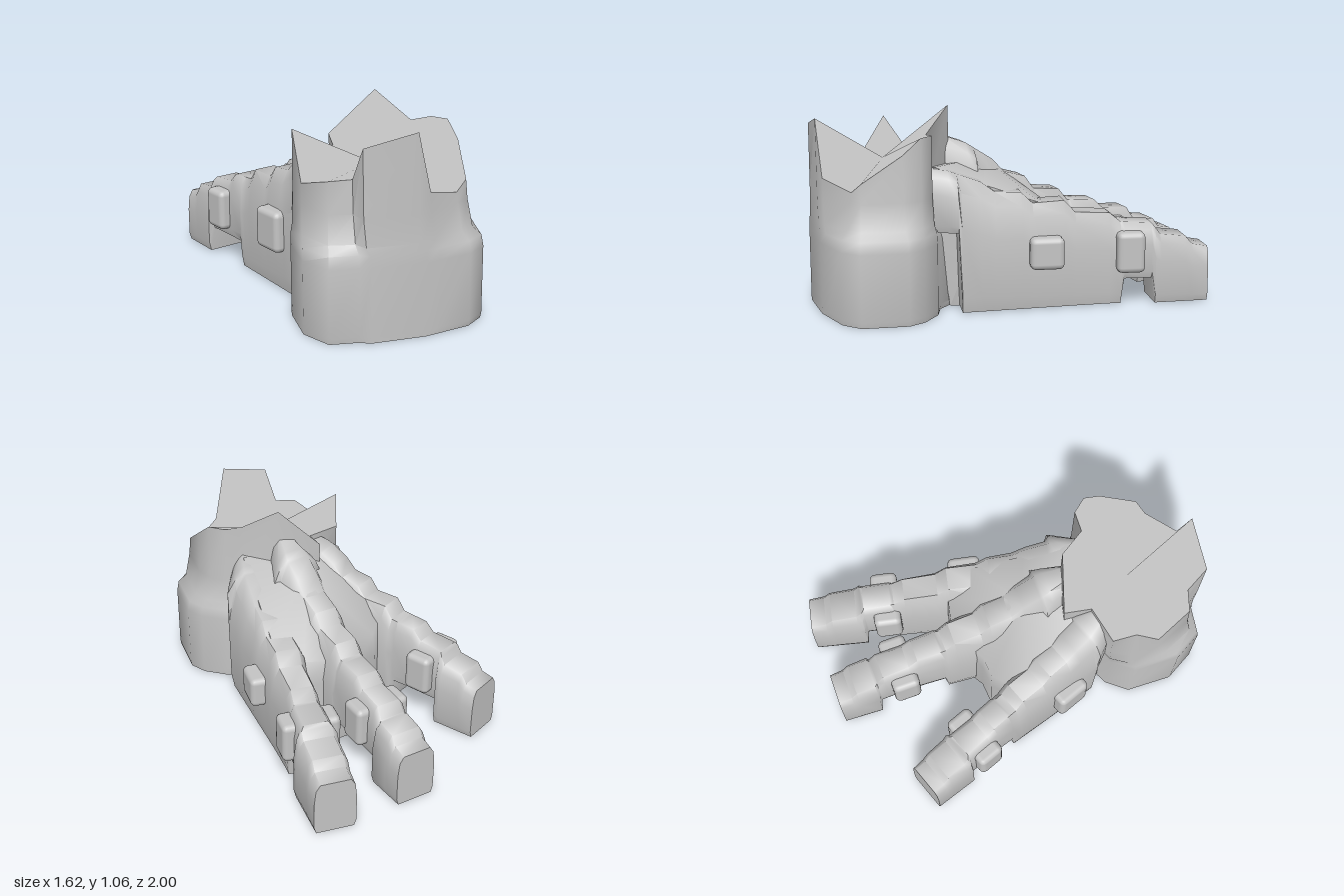
import * as THREE from 'three';
import { toCreasedNormals } from 'three/addons/utils/BufferGeometryUtils.js';
import { RoundedBoxGeometry } from 'three/addons/geometries/RoundedBoxGeometry.js';

const stone = new THREE.MeshStandardMaterial({ color: 0xc4c4c4, side: THREE.DoubleSide });
stone.name = 'stone grey';

const lerp = THREE.MathUtils.lerp;

function skin(name, pos, crease) {
  const geo = new THREE.BufferGeometry();
  geo.setAttribute('position', new THREE.Float32BufferAttribute(pos, 3));
  const mesh = new THREE.Mesh(toCreasedNormals(geo, crease), stone);
  mesh.name = name;
  return mesh;
}

// Triangles from a centre point to every edge of a ring.
function fan(centre, ring) {
  return ring.flatMap((p, i) => [...centre, ...p, ...ring[(i + 1) % ring.length]]);
}

// Joins rings of [x, y, z] points into a skin; the far end is closed unless open is set.
function loft(name, rings, { endCentre, open = false, crease = 1 } = {}) {
  const n = rings[0].length, pos = [];
  const middle = (ring) => [0, 1, 2].map((k) => ring.reduce((s, p) => s + p[k], 0) / n);
  for (let i = 0; i < n; i++) {
    const j = (i + 1) % n;
    for (let r = 0; r + 1 < rings.length; r++) {
      const a = rings[r], b = rings[r + 1];
      pos.push(...a[i], ...a[j], ...b[j], ...a[i], ...b[j], ...b[i]);
    }
  }
  const first = rings[0], last = rings[rings.length - 1];
  pos.push(...fan(middle(first), [...first].reverse()));
  if (!open) pos.push(...fan(endCentre || middle(last), last));
  return skin(name, pos, crease);
}

function block(name, [x, y, z], [w, h, d], turn) {
  const mesh = new THREE.Mesh(new RoundedBoxGeometry(w, h, d, 2, 0.03), stone);
  mesh.position.set(x, y, z);
  mesh.rotation.y = turn;
  mesh.name = name;
  return mesh;
}

// Heel: [base x, base z, rim x, rim y, rim z], rising to a jagged broken rim.
function heel() {
  const outline = [
    [-0.815, 0.58, -0.73, 0.72, 0.46], [-0.79, 0.75, -0.73, 0.78, 0.67],
    [-0.66, 0.82, -0.64, 0.79, 0.74], [-0.62, 0.86, -0.65, 0.96, 0.83],
    [-0.36, 0.96, -0.41, 1.02, 0.94], [-0.29, 0.97, -0.34, 0.72, 0.95],
    [-0.12, 1.0, -0.14, 0.67, 0.91], [0.0, 0.96, -0.07, 0.72, 0.9],
    [0.125, 0.75, 0.04, 0.86, 0.72], [0.12, 0.65, 0.06, 0.94, 0.62],
    [0.06, 0.52, 0.03, 0.94, 0.53], [-0.02, 0.44, -0.07, 0.93, 0.49],
    [-0.06, 0.32, -0.14, 1.06, 0.29], [-0.33, 0.25, -0.33, 0.83, 0.15],
    [-0.4, 0.26, -0.4, 0.81, 0.28], [-0.6, 0.28, -0.6, 0.8, 0.25],
    [-0.72, 0.35, -0.68, 0.95, 0.32],
  ];
  const level = (y, t) => outline.map(([bx, bz, rx, , rz]) => [lerp(bx, rx, t), y, lerp(bz, rz, t)]);
  const rim = outline.map(([, , x, y, z]) => [x, y, z]);
  const group = new THREE.Group();
  group.name = 'heel';
  group.add(loft('heelWall', [level(0, 0.06), level(0.03, 0), level(0.38, 0), level(0.44, 0.12),
    level(0.48, 0.6), level(0.62, 0.9), rim], { open: true, crease: 1 }));
  // One shared upward normal keeps the broken top an even, flat-looking face.
  const top = skin('brokenTop', fan([-0.37, 0.78, 0.55], rim), 0);
  const normals = top.geometry.attributes.normal;
  for (let i = 0; i < normals.count; i++) normals.setXYZ(i, 0, 1, 0);
  group.add(top);
  return group;
}

// Midfoot: the web of stone between the heel and the toes.
function midfoot() {
  const top = [
    [-0.52, 0.7, 0.28], [-0.04, 0.76, 0.46], [0.1, 0.66, 0.24], [0.26, 0.56, 0.0],
    [0.22, 0.48, -0.19], [0.11, 0.46, -0.26], [0.0, 0.48, -0.28], [-0.15, 0.45, -0.25],
    [-0.26, 0.45, -0.28], [-0.46, 0.5, -0.2],
  ];
  const base = top.map(([x, , z]) => [x * 1.02, 0, z > 0.2 ? Math.min(z, 0.36) : z * 1.06]);
  const shoulder = top.map(([x, y, z]) => [x * 1.02, y * 0.7, z * 1.04]);
  return loft('midfoot', [base, shoulder, top], { endCentre: [-0.12, 0.76, 0.06] });
}

// Toe: a stepped loft that runs from the instep down to a square tip.
function toe(name, [x0, z0], [x1, z1], rootHeight, rootWidth, lift, tip) {
  const group = new THREE.Group();
  group.name = name;
  const dir = new THREE.Vector2(x1 - x0, z1 - z0).normalize();
  const heights = [
    [0, 0.88], [0.09, 0.84], [0.2, 0.75], [0.25, 0.68], [0.34, 0.65], [0.38, 0.58],
    [0.49, 0.57], [0.53, 0.505], [0.65, 0.495], [0.69, 0.445], [0.8, 0.435],
    [0.83, 0.375], [0.92, 0.36], [0.945, 0.315], [1, 0.3],
  ];
  const topAt = (t) => {
    const i = Math.max(1, heights.findIndex((h) => h[0] >= t));
    const [ta, ya] = heights[i - 1], [tb, yb] = heights[i];
    const y = lerp(ya, yb, (t - ta) / (tb - ta));
    return y + (rootHeight - 0.88) * Math.max(0, 1 - t / 0.45);
  };
  const heelGap = 0.12;
  const stops = heights.map((h) => h[0]);
  stops.push(heelGap, heelGap + 0.012, lift, lift + 0.012, tip - 0.012, tip);
  stops.sort((a, b) => a - b);
  const rings = stops.map((t) => {
    let bottom = 0.005;
    if (t <= heelGap) bottom = 0.43;
    else if (t > lift + 0.006 && t < tip - 0.006) bottom = 0.14;
    const half = t >= tip ? 0.122 - 0.012 * (t - tip) / (1 - tip)
      : lerp(rootWidth, 0.1, Math.min(1, t / 0.62)) * lerp(0.5, 1, Math.min(1, t / heelGap));
    // Ridge-like at the root, boxy at the tip.
    const shoulder = lerp(0.7, 0.92, t), crown = lerp(0.35, 0.72, t);
    const side = [[-0.9, 0], [-1, 0.12], [-1, 0.62], [-shoulder, 0.88], [-crown, 1]];
    const section = [...side, ...side.map(([u, v]) => [-u, v]).reverse()];
    const cx = lerp(x0, x1, t), cz = lerp(z0, z1, t);
    return section.map(([u, v]) => [cx - dir.y * u * half, lerp(bottom, topAt(t), v), cz + dir.x * u * half]);
  });
  group.add(loft('toeBody', rings, { crease: 1.1 }));
  // Knuckle that sticks out on both sides.
  const k = 0.72;
  group.add(block('knuckle', [lerp(x0, x1, k), 0.29, lerp(z0, z1, k)], [0.31, 0.22, 0.15],
    Math.atan2(-dir.x, -dir.y)));
  return group;
}

export function createModel() {
  const model = new THREE.Group();
  model.name = 'brokenStatueFoot';
  model.add(
    heel(),
    midfoot(),
    toe('innerToe', [-0.44, 0.34], [-0.44, -0.9], 0.79, 0.16, 0.56, 0.81),
    toe('middleToe', [-0.19, 0.3], [0.27, -0.96], 0.9, 0.17, 0.54, 0.84),
    toe('outerToe', [-0.11, 0.5], [0.71, -0.795], 0.76, 0.18, 0.69, 0.81),
    block('outerSideStone', [0.34, 0.31, 0.02], [0.14, 0.17, 0.18], -0.56),
    block('innerSideStone', [-0.58, 0.33, 0.0], [0.1, 0.22, 0.19], 0),
  );
  return model;
}
